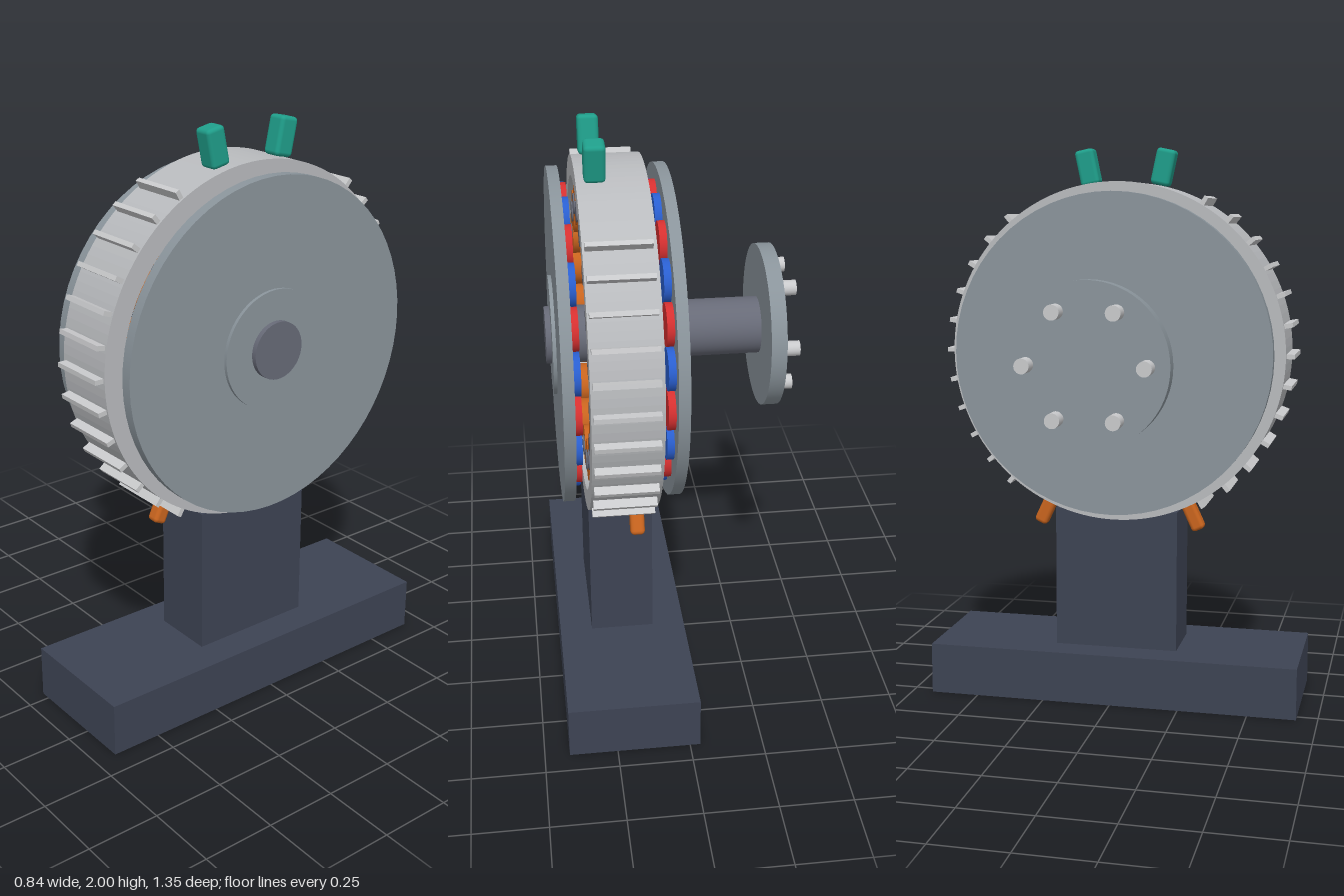
import * as THREE from 'three';
import { RoundedBoxGeometry } from 'three/addons/geometries/RoundedBoxGeometry.js';

const AXIS_Y = 1.27; // height of the shaft
const MID_X = 0.19; // middle plane of the stator

export function createModel() {
  const model = new THREE.Group();
  model.name = 'axialFluxMotor';
  const mat = (name, color) => {
    const m = new THREE.MeshStandardMaterial({ color });
    m.name = name;
    return m;
  };
  const frame = mat('frameNavy', 0x3d4353);
  const steel = mat('steelGrey', 0x8a949b);
  const shaftMat = mat('shaftGrey', 0x676a77);
  const alu = mat('housingAluminium', 0xb9bbbe);
  const bright = mat('brightMetal', 0xc9cacc);
  const red = mat('northRed', 0xd63030);
  const blue = mat('southBlue', 0x2a5fd0);
  const copper = mat('copperOrange', 0xc8641e);
  const teal = mat('connectorTeal', 0x1f9e8a);

  const add = (parent, name, geo, material, x = 0, y = 0, z = 0) => {
    const mesh = new THREE.Mesh(geo, material);
    mesh.name = name;
    mesh.position.set(x, y, z);
    parent.add(mesh);
    return mesh;
  };

  // Stand
  add(model, 'base', new THREE.BoxGeometry(0.45, 0.185, 1.35), frame, MID_X, 0.0925, 0);
  add(model, 'post', new THREE.BoxGeometry(0.222, 0.515, 0.45), frame, MID_X, 0.4425, 0);

  // Everything below turns about the x axis through the rotor centre
  const motor = new THREE.Group();
  motor.name = 'motor';
  motor.position.y = AXIS_Y;
  model.add(motor);

  // Cylinder along x from x0 to x1
  const disc = (name, r, x0, x1, material, y = 0, z = 0, seg = 64) =>
    add(motor, name, new THREE.CylinderGeometry(r, r, x1 - x0, seg).rotateZ(Math.PI / 2),
      material, (x0 + x1) / 2, y, z);

  // Point at an angle measured from +z towards +y
  const polar = (r, deg) => {
    const a = THREE.MathUtils.degToRad(deg);
    return [r * Math.sin(a), r * Math.cos(a)];
  };

  // Stator housing: an open ring
  const ring = new THREE.Shape().absarc(0, 0, 0.605, 0, Math.PI * 2);
  ring.holes.push(new THREE.Path().absarc(0, 0, 0.535, 0, Math.PI * 2, true));
  const ringGeo = new THREE.ExtrudeGeometry(ring, { depth: 0.23, bevelEnabled: false, curveSegments: 64 });
  ringGeo.translate(0, 0, -0.115).rotateY(Math.PI / 2);
  add(motor, 'statorHousing', ringGeo, alu, MID_X);
  disc('coilCarrier', 0.54, MID_X - 0.02, MID_X + 0.02, frame);

  // Stator coils with dark cores
  for (let i = 0; i < 18; i++) {
    const [y, z] = polar(0.44, i * 20 + 10);
    disc('coil', 0.073, 0.085, 0.295, copper, y, z, 20);
    disc('coilCore', 0.035, 0.08, 0.3, shaftMat, y, z, 16);
  }

  // Cooling fins, leaving the top free for connectors and the bottom for the post
  for (let deg = -60; deg <= 230; deg += 10) {
    if (deg > 60 && deg < 130) continue;
    const [y, z] = polar(0.615, deg);
    const fin = add(motor, 'coolingFin', new THREE.BoxGeometry(0.21, 0.016, 0.04), bright, MID_X + 0.003, y, z);
    fin.rotation.x = -THREE.MathUtils.degToRad(deg);
  }

  // Rotor discs and their round magnets, mirrored about the stator
  for (const s of [-1, 1]) {
    const span = (name, r, a, b, m, y, z, seg) =>
      disc(name, r, Math.min(MID_X + s * a, MID_X + s * b), Math.max(MID_X + s * a, MID_X + s * b), m, y, z, seg);
    span('rotorDisc', 0.57, 0.16, 0.198, steel);
    span('rotorHub', 0.203, 0.13, 0.21, steel);
    for (let i = 0; i < 20; i++) {
      const [y, z] = polar(0.45, 9 + 18 * i);
      span('magnet', 0.07, 0.136, 0.161, i % 2 ? blue : red, y, z, 24);
    }
  }

  // Shaft and bolted output flange
  disc('shaft', 0.098, -0.33, 0.418, shaftMat);
  disc('outputFlange', 0.28, -0.368, -0.315, steel);
  for (let i = 0; i < 6; i++) {
    const [y, z] = polar(0.204, i * 60);
    disc('flangeBolt', 0.026, -0.423, -0.36, bright, y, z, 20);
  }

  // Radial plugs: power connectors on top, coolant ports below
  const plug = (name, size, x, r, deg, material) => {
    const [y, z] = polar(r, deg);
    const geo = new RoundedBoxGeometry(size[0], size[1], size[2], 2, 0.014);
    const mesh = add(motor, name, geo, material, x, y, z);
    mesh.rotation.x = THREE.MathUtils.degToRad(90 - deg);
  };
  for (const s of [-1, 1]) {
    plug('powerConnector', [0.07, 0.13, 0.07], 0.245, 0.672, 90 + s * 12, teal);
    plug('coolantPort', [0.05, 0.11, 0.05], 0.137, 0.65, -90 + s * 25, copper);
  }

  return model;
}
